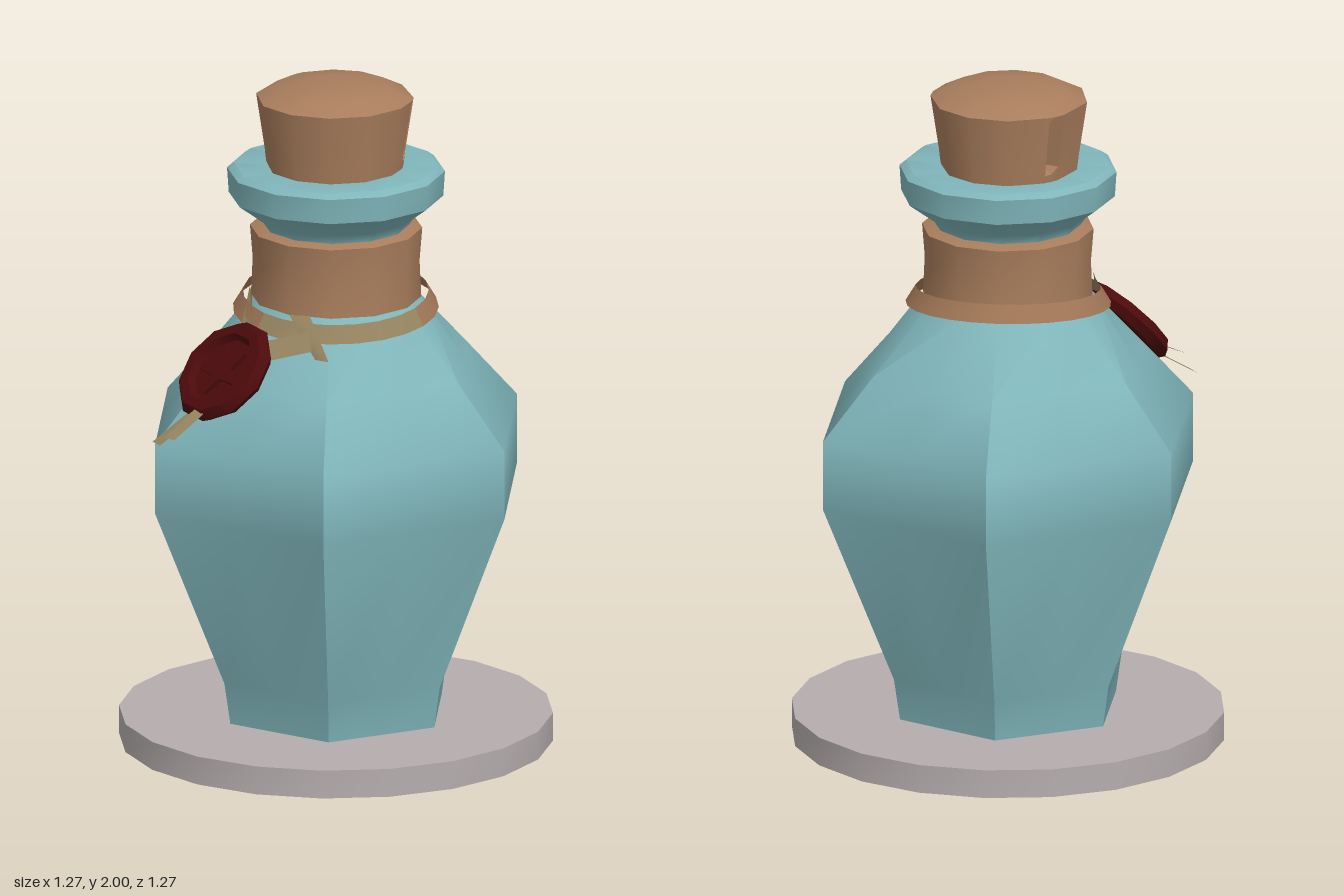
import * as THREE from 'three';
import { toCreasedNormals } from 'three/addons/utils/BufferGeometryUtils.js';

const V = (x, y, z) => new THREE.Vector3(x, y, z);
const rad = THREE.MathUtils.degToRad;

function makeMat(name, color, side = THREE.FrontSide) {
  const m = new THREE.MeshStandardMaterial({ color, side });
  m.name = name;
  return m;
}

function add(parent, name, geo, mat) {
  const mesh = new THREE.Mesh(geo, mat);
  mesh.name = name;
  parent.add(mesh);
  return mesh;
}

// Closed solid through stacked rings of equal point count, creased at sharp edges
function loft(rings, crease) {
  const pos = [];
  const tri = (...pts) => pts.forEach((p) => pos.push(p.x, p.y, p.z));
  const n = rings[0].length;
  const mid = (r) => r.reduce((s, p) => s.add(p), V(0, 0, 0)).divideScalar(n);
  for (let j = 0; j < rings.length - 1; j++) {
    for (let i = 0; i < n; i++) {
      const k = (i + 1) % n, lo = rings[j], hi = rings[j + 1];
      tri(lo[i], lo[k], hi[k]);
      tri(lo[i], hi[k], hi[i]);
    }
  }
  const bottom = rings[0], top = rings[rings.length - 1];
  const bm = mid(bottom), tm = mid(top);
  for (let i = 0; i < n; i++) {
    const k = (i + 1) % n;
    tri(bottom[k], bottom[i], bm);
    tri(top[i], top[k], tm);
  }
  const g = new THREE.BufferGeometry();
  g.setAttribute('position', new THREE.Float32BufferAttribute(pos, 3));
  return toCreasedNormals(g, crease);
}

// Twelve points: hex = 1 gives a hexagon with corners on z, hex = 0 a round ring
function ring(y, r, hex = 0, cx = 0, cz = 0) {
  return Array.from({ length: 12 }, (_, i) => {
    const a = rad(i * 30);
    const d = i % 2 ? r * THREE.MathUtils.lerp(1, Math.cos(rad(30)), hex) : r;
    return V(cx + Math.sin(a) * d, y, cz + Math.cos(a) * d);
  });
}

// Flat strip between two edges
function ribbon(edgeA, edgeB) {
  const pos = [], idx = [];
  edgeA.forEach((a, i) => {
    const b = edgeB[i];
    pos.push(a.x, a.y, a.z, b.x, b.y, b.z);
    if (i) idx.push(2 * i - 2, 2 * i - 1, 2 * i + 1, 2 * i - 2, 2 * i + 1, 2 * i);
  });
  const g = new THREE.BufferGeometry();
  g.setAttribute('position', new THREE.Float32BufferAttribute(pos, 3));
  g.setIndex(idx);
  g.computeVertexNormals();
  return g;
}

// Sloping strip around the shoulder, low at the front and high at the back
function loopStrip(from, to) {
  const upper = [], lower = [];
  for (let d = from; d <= to; d += 15) {
    const s = Math.sin(rad(d)), c = Math.cos(rad(d));
    const y = 1.345 + -0.028 * c, r = 0.272 + 0.012 * c;
    upper.push(V(s * r, y + 0.025, c * r));
    lower.push(V(s * (r + 0.03), y - 0.025, c * (r + 0.03)));
  }
  return ribbon(lower, upper);
}

export function createModel() {
  const model = new THREE.Group();
  model.name = 'corkedBottle';
  const glass = makeMat('teal glass', 0x7fb5ba);
  const brown = makeMat('cork brown', 0xa87d5c);
  const strap = makeMat('strap brown', 0xa07656, THREE.DoubleSide);
  const stone = makeMat('grey stone', 0xb5adad);
  const wax = makeMat('dark red wax', 0x4c0a0c);
  const twine = makeMat('khaki ribbon', 0x94835f, THREE.DoubleSide);

  // Base disc
  const disc = new THREE.CylinderGeometry(0.637, 0.637, 0.085, 20);
  add(model, 'base', toCreasedNormals(disc, 0.7), stone).position.y = 0.0425;

  // Six-sided bottle blending into a round neck and flared lip
  add(model, 'bottle', loft([
    ring(0.08, 0.345, 1), ring(0.21, 0.365, 1), ring(0.76, 0.592, 1), ring(0.97, 0.592, 1),
    ring(1.15, 0.43, 0.8), ring(1.33, 0.265), ring(1.37, 0.225), ring(1.57, 0.215),
    ring(1.6, 0.235), ring(1.66, 0.315), ring(1.735, 0.32), ring(1.75, 0.3), ring(1.745, 0.18),
  ], 0.7), glass);

  // Neck band
  add(model, 'neckBand', loft([
    ring(1.35, 0.25, 0, 0, -0.005), ring(1.46, 0.245, 0, 0, -0.005),
    ring(1.56, 0.253, 0, 0, -0.005), ring(1.57, 0.225),
  ], 0.7), brown);

  // Cork with two narrow cracks: [angle, crack depth]
  const sides = [[0, 0], [30, 0], [60, 0], [80, 0], [86, 0.06], [91, 0], [125, 0], [155, 0], [185, 0],
    [217, 0], [223, 0.06], [230, 0], [265, 0], [300, 0], [330, 0]];
  const corkRing = ([y, r, crack]) => sides.map(([deg, depth]) => {
    const d = r - depth * crack;
    return V(-0.005 + Math.sin(rad(deg)) * d, y, -0.008 + Math.cos(rad(deg)) * d);
  });
  add(model, 'cork', loft([
    [1.7, 0.195, 0], [1.77, 0.205, 0], [1.79, 0.207, 1], [1.94, 0.23, 1],
    [1.955, 0.232, 0], [1.988, 0.165, 0], [2, 0.07, 0],
  ].map(corkRing), 0.6), brown);

  // Shoulder strap and ribbon
  add(model, 'shoulderStrap', loopStrip(60, 315), strap);
  add(model, 'frontRibbon', loopStrip(-45, 60), twine);
  add(model, 'crossRibbon', ribbon(
    [V(-0.12, 1.365, 0.265), V(-0.04, 1.25, 0.335)],
    [V(-0.06, 1.365, 0.27), V(0.0, 1.25, 0.355)]), twine);
  add(model, 'sealRibbon', ribbon(
    [V(-0.06, 1.325, 0.3), V(-0.19, 1.285, 0.27)],
    [V(-0.05, 1.275, 0.335), V(-0.21, 1.235, 0.33)]), twine);
  add(model, 'neckRibbon', ribbon(
    [V(-0.25, 1.39, 0.06), V(-0.27, 1.28, 0.2)],
    [V(-0.24, 1.39, 0.11), V(-0.23, 1.28, 0.24)]), twine);

  // Two ribbon tails below the seal
  add(model, 'ribbonTail', ribbon(
    [V(-0.34, 1.13, 0.27), V(-0.515, 1.005, 0.38)],
    [V(-0.32, 1.13, 0.31), V(-0.49, 1.005, 0.42)]), twine);
  add(model, 'ribbonTail', ribbon(
    [V(-0.34, 1.14, 0.3), V(-0.475, 1.04, 0.455)],
    [V(-0.3, 1.14, 0.32), V(-0.445, 1.04, 0.48)]), twine);

  // Wax seal: rimmed disc with a plain raised star
  const seal = new THREE.Group();
  seal.name = 'waxSeal';
  const profile = [[0, -0.02], [0.15, -0.02], [0.17, 0.005], [0.15, 0.032], [0.118, 0.032],
    [0.105, 0.012], [0, 0.012]].map(([x, y]) => new THREE.Vector2(x, y));
  add(seal, 'sealDisc', toCreasedNormals(new THREE.LatheGeometry(profile, 10), 0.65), wax);
  const star = new THREE.Shape(Array.from({ length: 10 }, (_, i) => {
    const a = rad(i * 36), r = i % 2 ? 0.038 : 0.088;
    return new THREE.Vector2(Math.cos(a) * r, Math.sin(a) * r);
  }));
  const starGeo = new THREE.ExtrudeGeometry(star, { depth: 0.014, bevelEnabled: false });
  starGeo.rotateX(-Math.PI / 2);
  add(seal, 'sealStar', starGeo, wax).position.y = 0.011;
  seal.position.set(-0.305, 1.19, 0.28);
  seal.quaternion.setFromUnitVectors(V(0, 1, 0), V(-0.57, 0.68, 0.47).normalize());
  model.add(seal);

  return model;
}
